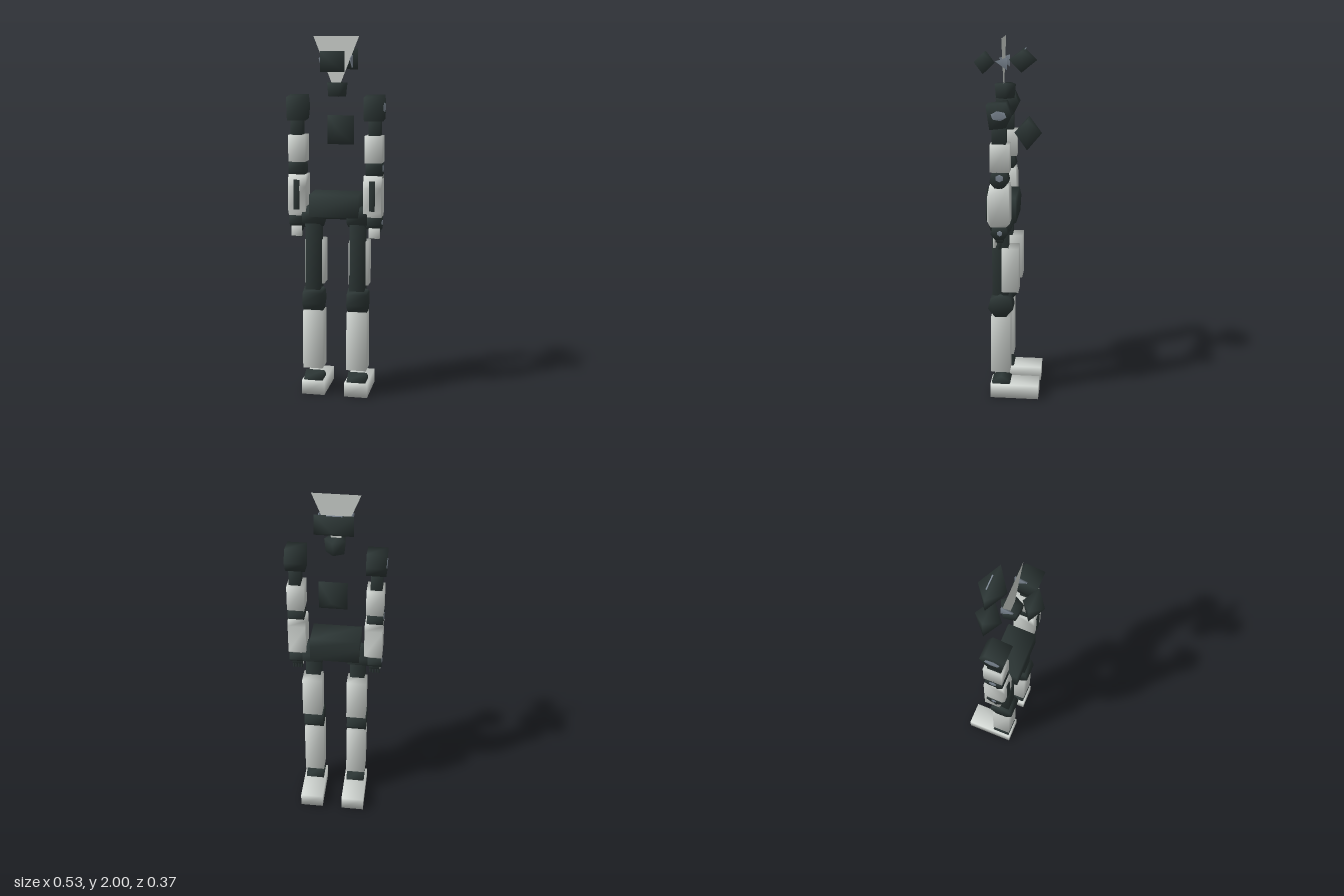
import * as THREE from 'three';
import { mergeVertices } from 'three/addons/utils/BufferGeometryUtils.js';

const mat = (name, color, side = THREE.FrontSide) => {
  const m = new THREE.MeshStandardMaterial({ color, side });
  m.name = name;
  return m;
};

// Share corners so the low-poly blocks shade smoothly
function soften(geo) {
  geo.deleteAttribute('normal');
  geo.deleteAttribute('uv');
  const g = mergeVertices(geo, 1e-4);
  g.computeVertexNormals();
  return g;
}

// Block given by its extents
function block(x0, x1, y0, y1, z0, z1) {
  const g = new THREE.BoxGeometry(x1 - x0, y1 - y0, z1 - z0);
  g.translate((x0 + x1) / 2, (y0 + y1) / 2, (z0 + z1) / 2);
  return soften(g);
}

// Side outline of [z, y] points swept from x0 to x1
function prism(x0, x1, outline) {
  const shape = new THREE.Shape(outline.map(([z, y]) => new THREE.Vector2(-z, y)));
  const g = new THREE.ExtrudeGeometry(shape, { depth: x1 - x0, bevelEnabled: false });
  g.rotateY(Math.PI / 2).translate(x0, 0, 0);
  return soften(g);
}

// Regular polygon outline in the side plane
function ring(z, y, rz, ry, n, phase = Math.PI / 2) {
  return Array.from({ length: n }, (_, i) => {
    const a = phase + (i / n) * Math.PI * 2;
    return [z + rz * Math.cos(a), y + ry * Math.sin(a)];
  });
}

// Square-waisted double pyramid pointing along z
function diamond(y, z, hx, hy, hz) {
  const g = new THREE.OctahedronGeometry(1);
  g.rotateZ(Math.PI / 4).scale(hx * Math.SQRT2, hy * Math.SQRT2, hz);
  g.translate(0, y, z);
  return soften(g);
}

export function createModel() {
  const root = new THREE.Group();
  root.name = 'robot';
  const dark = mat('dark graphite', 0x2d3736);
  const light = mat('pale shell', 0xd3d8d4, THREE.DoubleSide);
  const steel = mat('blue grey', 0x7f8a96, THREE.DoubleSide);
  const add = (name, geo, material, parent = root) => {
    const m = new THREE.Mesh(geo, material);
    m.name = name;
    parent.add(m);
    return m;
  };

  // Head
  const tri = new THREE.Shape([[-0.125, 2], [0, 1.69], [0.125, 2]].map(p => new THREE.Vector2(...p)));
  add('headPlate', new THREE.ShapeGeometry(tri).translate(0, 0, 0.025), light);
  add('headRear', diamond(1.865, 0.13, 0.066, 0.055, 0.056), dark);
  add('facePiece', diamond(1.88, -0.077, 0.1, 0.056, 0.075), dark);
  add('browStrip', new THREE.BoxGeometry(0.08, 0.003, 0.006).translate(-0.005, 1.94, -0.09), steel);

  // Neck
  const neck = new THREE.CylinderGeometry(0.06, 0.052, 0.075, 5);
  neck.rotateY(0.45).translate(0, 1.717, 0.018);
  add('neck', soften(neck), dark);

  // Torso
  add('chestCore', diamond(1.49, -0.107, 0.075, 0.081, 0.075), dark);
  add('pelvis', prism(-0.135, 0.135, [
    [0.108, 1.15], [-0.05, 1.157], [-0.06, 1.11], [-0.055, 1.02], [0.02, 1.005], [0.11, 1.03],
  ]), dark);

  for (const s of [1, -1]) {
    const side = s > 0 ? 'left' : 'right';
    const arm = new THREE.Group();
    arm.name = side + 'Arm';
    const leg = new THREE.Group();
    leg.name = side + 'Leg';
    root.add(arm, leg);
    // Spans are given for the +x side and mirrored
    const span = (a, b) => (s > 0 ? [a, b] : [-b, -a]);
    const part = (name, group, material, a, b, ...yz) =>
      add(name, block(...span(a, b), ...yz), material, group);
    const sweep = (name, group, material, a, b, outline) =>
      add(name, prism(...span(a, b), outline), material, group);

    // Ears
    sweep('ear', root, steel, 0.08, 0.088, [[0.062, 1.88], [0, 1.9], [0, 1.835]]);

    // Shoulder and upper arm
    sweep('shoulder', arm, dark, 0.16, 0.264, [
      [0.092, 1.675], [-0.012, 1.69], [-0.042, 1.625], [-0.01, 1.56], [0.073, 1.55],
    ]);
    sweep('shoulderCap', arm, steel, 0.262, 0.267, ring(0.025, 1.623, 0.042, 0.026, 6, 0.3));
    part('upperArmJoint', arm, dark, 0.185, 0.247, 1.46, 1.57, -0.01, 0.064);
    part('upperArm', arm, light, 0.165, 0.258, 1.325, 1.472, -0.03, 0.073);

    // Elbow and forearm
    sweep('elbow', arm, dark, 0.17, 0.258, ring(0.025, 1.285, 0.052, 0.05, 7));
    sweep('elbowCap', arm, steel, 0.257, 0.261, ring(0.022, 1.295, 0.022, 0.02, 6));
    sweep('forearm', arm, light, 0.16, 0.258, [
      [0.075, 1.255], [-0.025, 1.255], [-0.032, 1.22], [-0.032, 1.05],
      [-0.012, 1.03], [0.07, 1.028], [0.088, 1.06], [0.088, 1.19],
    ]);
    part('forearmPanel', arm, dark, 0.194, 0.225, 1.065, 1.228, 0.085, 0.093);

    // Wrist, hand and fingers
    sweep('wrist', arm, dark, 0.172, 0.256, ring(0.025, 0.997, 0.048, 0.042, 7));
    sweep('wristCap', arm, steel, 0.255, 0.259, ring(0.022, 0.995, 0.016, 0.015, 6));
    part('palm', arm, dark, 0.188, 0.245, 0.94, 0.985, 0.005, 0.05);
    part('handPlate', arm, light, 0.188, 0.248, 0.91, 0.967, 0.045, 0.058);
    for (let i = 0; i < 4; i++) {
      const x = 0.19 + i * 0.015;
      part('finger', arm, dark, x, x + 0.01, 0.903, 0.95, 0.02, 0.036);
    }

    // Hip and thigh
    sweep('hip', leg, dark, 0.07, 0.18, ring(0.025, 1.025, 0.07, 0.06, 7, -Math.PI / 2));
    part('thigh', leg, dark, 0.083, 0.165, 0.61, 1.02, -0.015, 0.073);
    part('thighGuard', leg, light, 0.07, 0.18, 0.635, 0.885, -0.072, 0.02);

    // Knee and shin
    sweep('knee', leg, dark, 0.07, 0.18, ring(0.027, 0.55, 0.071, 0.068, 7));
    part('shin', leg, light, 0.068, 0.18, 0.155, 0.487, -0.025, 0.08);

    // Ankle and foot
    sweep('ankle', leg, dark, 0.07, 0.176, ring(0.025, 0.075, 0.055, 0.052, 5));
    part('foot', leg, light, 0.057, 0.188, 0, 0.08, -0.186, 0.085);
  }
  return root;
}
